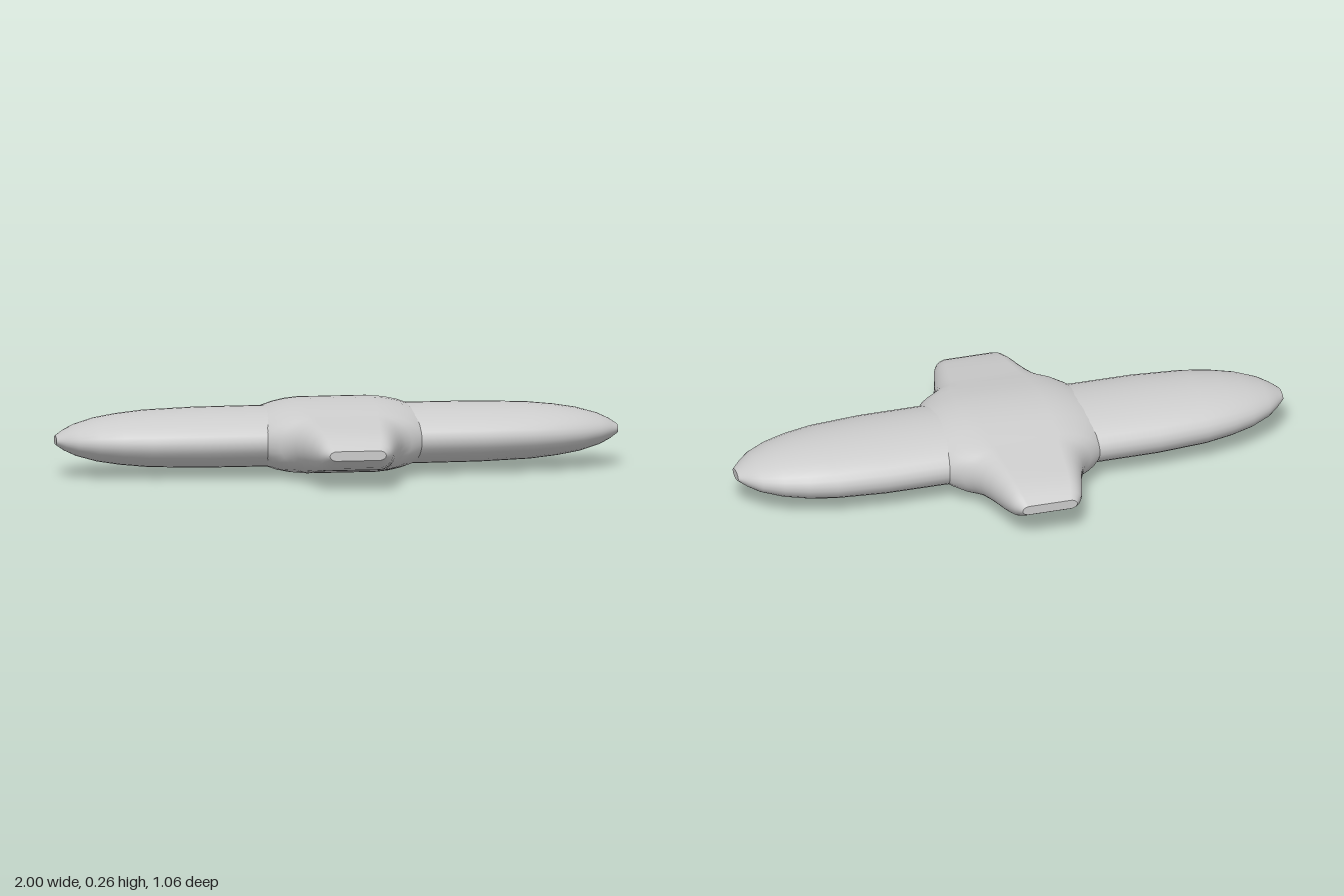
import * as THREE from 'three';

const SIDES = 32;
const MID_Y = 0.13;

// Stations: [distance from centre, half width, half height, half length of the flat top], mirrored about 0
const bodyStations = [
  [0, 0.215, 0.105, 0], [0.28, 0.215, 0.105, 0], [0.5, 0.215, 0.104, 0], [0.68, 0.2, 0.098, 0],
  [0.78, 0.178, 0.088, 0], [0.86, 0.15, 0.075, 0], [0.93, 0.11, 0.055, 0],
  [0.97, 0.07, 0.036, 0], [1, 0.035, 0.016, 0],
];
const crossStations = [
  [0, 0.36, 0.13, 0.1], [0.06, 0.355, 0.128, 0.1], [0.12, 0.335, 0.12, 0.1], [0.18, 0.3, 0.109, 0.1],
  [0.215, 0.275, 0.102, 0.1], [0.24, 0.235, 0.097, 0.1], [0.265, 0.208, 0.093, 0.1],
  [0.3, 0.188, 0.087, 0.1], [0.35, 0.17, 0.079, 0.095], [0.42, 0.15, 0.067, 0.09],
  [0.47, 0.135, 0.052, 0.085], [0.5, 0.122, 0.036, 0.08], [0.53, 0.1, 0.017, 0.075],
];

// Lofts rounded sections along x and closes both ends with flat caps
function loft(half) {
  const stations = [
    ...half.slice(1).reverse().map(([d, ...rest]) => [-d, ...rest]),
    ...half,
  ];
  const pos = [], index = [];
  const ring = ([x, w, h, flat]) => {
    const start = pos.length / 3;
    for (let i = 0; i < SIDES; i++) {
      const a = ((i + 0.5) / SIDES) * Math.PI * 2;
      const s = Math.sin(a);
      pos.push(x, Math.cos(a) * h, Math.sign(s) * flat + s * (w - flat));
    }
    return start;
  };
  const starts = stations.map(ring);
  for (let k = 0; k < starts.length - 1; k++) {
    for (let i = 0; i < SIDES; i++) {
      const j = (i + 1) % SIDES;
      const a = starts[k] + i, b = starts[k] + j;
      const c = starts[k + 1] + i, d = starts[k + 1] + j;
      index.push(a, b, c, b, d, c);
    }
  }
  // Caps use their own rings so that their rims stay crisp
  for (const end of [stations[0], stations[stations.length - 1]]) {
    const s = ring(end);
    for (let i = 1; i < SIDES - 1; i++) {
      if (end[0] > 0) index.push(s, s + i, s + i + 1);
      else index.push(s, s + i + 1, s + i);
    }
  }
  // Cap winding follows the ring direction, seen from outside
  const capStart = index.length - 2 * (SIDES - 2) * 3;
  for (let i = capStart; i < index.length; i += 3) {
    const [a, b, c] = [0, 1, 2].map((n) => new THREE.Vector3().fromArray(pos, index[i + n] * 3));
    if (b.sub(a).cross(c.sub(a)).x * a.x < 0) {
      [index[i + 1], index[i + 2]] = [index[i + 2], index[i + 1]];
    }
  }
  const geo = new THREE.BufferGeometry();
  geo.setAttribute('position', new THREE.Float32BufferAttribute(pos, 3));
  geo.setIndex(index);
  geo.computeVertexNormals();
  return geo;
}

export function createModel() {
  const group = new THREE.Group();
  const material = new THREE.MeshStandardMaterial({ color: 0xcccccc });

  // Long tapering body from side to side
  const body = new THREE.Mesh(loft(bodyStations), material);
  body.name = 'longBody';

  // Raised hub that flares out into the short front and back arms
  const cross = new THREE.Mesh(loft(crossStations).rotateY(Math.PI / 2), material);
  cross.name = 'hubAndShortArms';

  for (const part of [body, cross]) {
    part.position.y = MID_Y;
    group.add(part);
  }
  return group;
}
